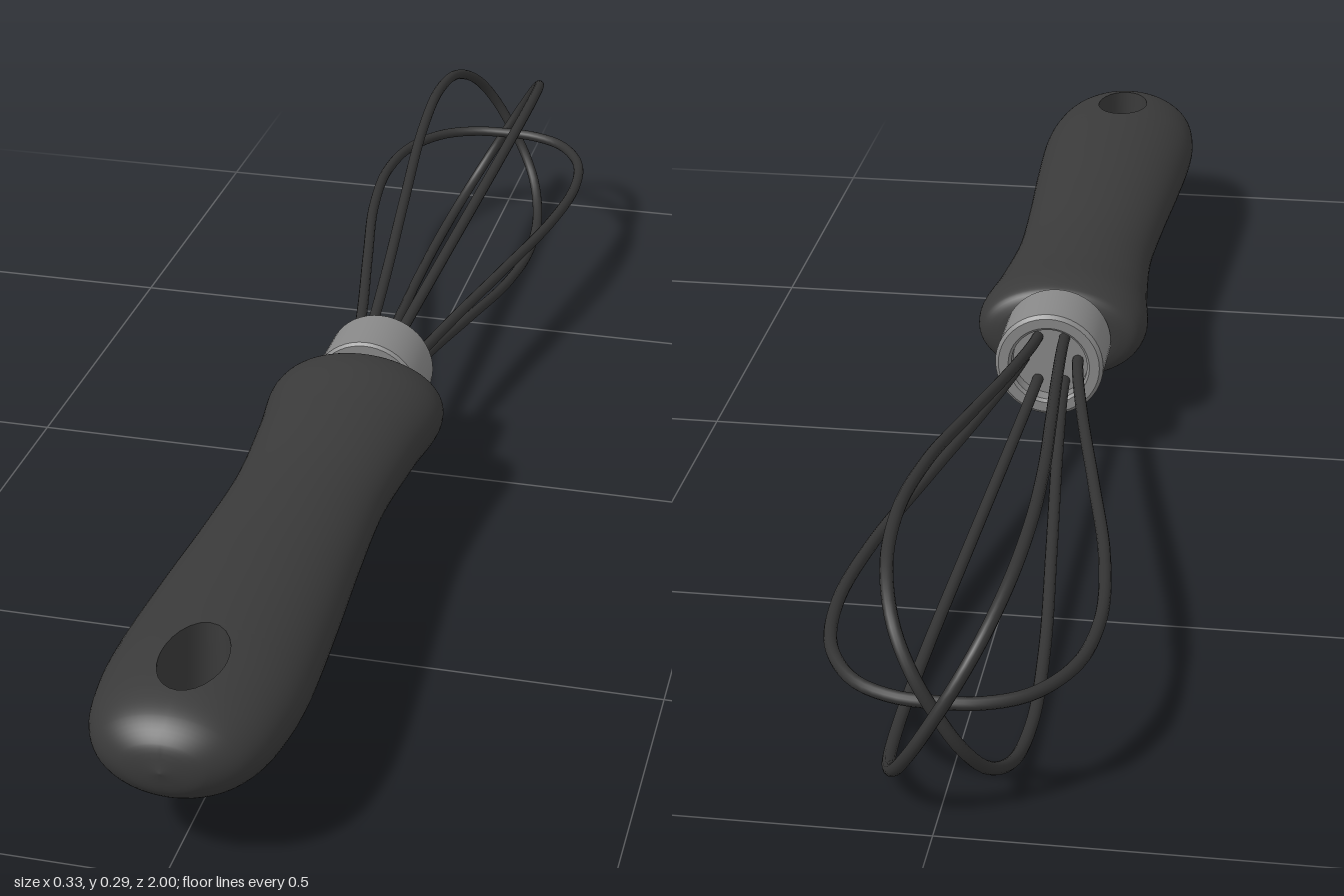
import * as THREE from 'three';
import { toCreasedNormals } from 'three/addons/utils/BufferGeometryUtils.js';

const AXIS_Y = 0.146;
const paint = (color) => new THREE.MeshStandardMaterial({ color });

// Smooth normals with sharp edges; scaled up so close vertices stay distinct.
function crease(geometry, angle) {
  geometry.scale(100, 100, 100);
  return toCreasedNormals(geometry, angle).scale(0.01, 0.01, 0.01);
}

// Handle: elliptical sections along z, pierced by an oval hanging hole.
function handleGeometry() {
  const hole = { z: 0.862, rx: 0.04, rz: 0.066 };
  // z, half width, half height
  const keys = [
    [0.052, 0, 0], [0.052, 0.09, 0.052], [0.064, 0.114, 0.069], [0.1, 0.123, 0.076],
    [0.2, 0.113, 0.07], [0.35, 0.103, 0.063], [0.5, 0.108, 0.066], [0.65, 0.117, 0.072],
    [hole.z - hole.rz, 0.123, 0.075], [hole.z, 0.12, 0.073], [hole.z + hole.rz, 0.108, 0.066],
    [0.965, 0.088, 0.055], [0.99, 0.052, 0.033], [1, 0, 0],
  ];
  const curve = new THREE.CatmullRomCurve3(keys.map(([z, w, h]) => new THREE.Vector3(w, h, z)));
  const spans = keys.length - 1, steps = 8, cols = 32;

  // One half section: an arc from the top edge of the hole round to the bottom one.
  const rows = [];
  for (let i = 0; i <= spans * steps; i++) {
    const s = (i % steps) / steps;
    const t = (Math.floor(i / steps) + (1 - Math.cos(Math.PI * s)) / 2) / spans;
    const { x: w, y: h, z } = curve.getPoint(Math.min(t, 1));
    const hx = hole.rx * Math.sqrt(Math.max(0, 1 - ((z - hole.z) / hole.rz) ** 2));
    const a0 = Math.acos(Math.min(1, hx / Math.max(w, 1e-6)));
    const row = [];
    for (let j = 0; j <= cols; j++) {
      const a = a0 * (1 - (2 * j) / cols);
      row.push([w * Math.cos(a), h * Math.sin(a), z]);
    }
    rows.push({ row, open: hx > 1e-5 });
  }

  const pos = [];
  const quad = (a, b, c, d) => {
    for (const side of [1, -1]) {
      const order = side > 0 ? [a, b, c, a, c, d] : [a, c, b, a, d, c];
      for (const p of order) pos.push(side * p[0], p[1], p[2]);
    }
  };
  for (let i = 0; i < rows.length - 1; i++) {
    const p = rows[i].row, q = rows[i + 1].row;
    for (let j = 0; j < cols; j++) quad(p[j], q[j], q[j + 1], p[j + 1]);
    // Wall of the hole
    if (rows[i].open || rows[i + 1].open) quad(p[0], p[cols], q[cols], q[0]);
  }
  const geometry = new THREE.BufferGeometry();
  geometry.setAttribute('position', new THREE.Float32BufferAttribute(pos, 3));
  return crease(geometry, 0.8);
}

// Collar: a turned ring with a recessed back and a neck that enters the handle.
function collarGeometry() {
  const profile = [
    [0, -0.025], [0.054, -0.025], [0.054, -0.046], [0.058, -0.05], [0.072, -0.05],
    [0.077, -0.045], [0.077, 0.044], [0.073, 0.048], [0.05, 0.048], [0.05, 0.07], [0, 0.07],
  ].map(([r, y]) => new THREE.Vector2(r, y));
  return crease(new THREE.LatheGeometry(profile, 48).rotateX(Math.PI / 2), 0.5);
}

// Wire loop: half profile mirrored round its tip.
function wireGeometry(tip) {
  const half = [
    [0.036, 0], [0.042, 0.06], [0.069, 0.22], [0.108, 0.42], [0.145, 0.62],
    [0.158, 0.78], [0.142, 0.89], [0.1, 0.96], [0.05, 0.987],
  ].map(([r, d]) => new THREE.Vector3(r, 0, (-d * tip) / 0.992));
  const other = half.map((p) => new THREE.Vector3(-p.x, 0, p.z)).reverse();
  const path = new THREE.CatmullRomCurve3([...half, new THREE.Vector3(0, 0, -tip), ...other]);
  return new THREE.TubeGeometry(path, 140, 0.008, 12);
}

export function createModel() {
  const model = new THREE.Group();
  model.name = 'whisk';
  const add = (name, geometry, material) => {
    const mesh = new THREE.Mesh(geometry, material);
    mesh.name = name;
    mesh.position.y = AXIS_Y;
    model.add(mesh);
    return mesh;
  };

  add('handle', handleGeometry(), paint(0x3a3a3a));
  add('collar', collarGeometry(), paint(0x888888));

  // Three loops crossing at staggered tips
  const wire = paint(0x333333);
  [0.95, 0.972, 0.992].forEach((tip, i) => {
    add('wireLoop' + (i + 1), wireGeometry(tip), wire).rotation.z = (i * Math.PI) / 3;
  });
  return model;
}
